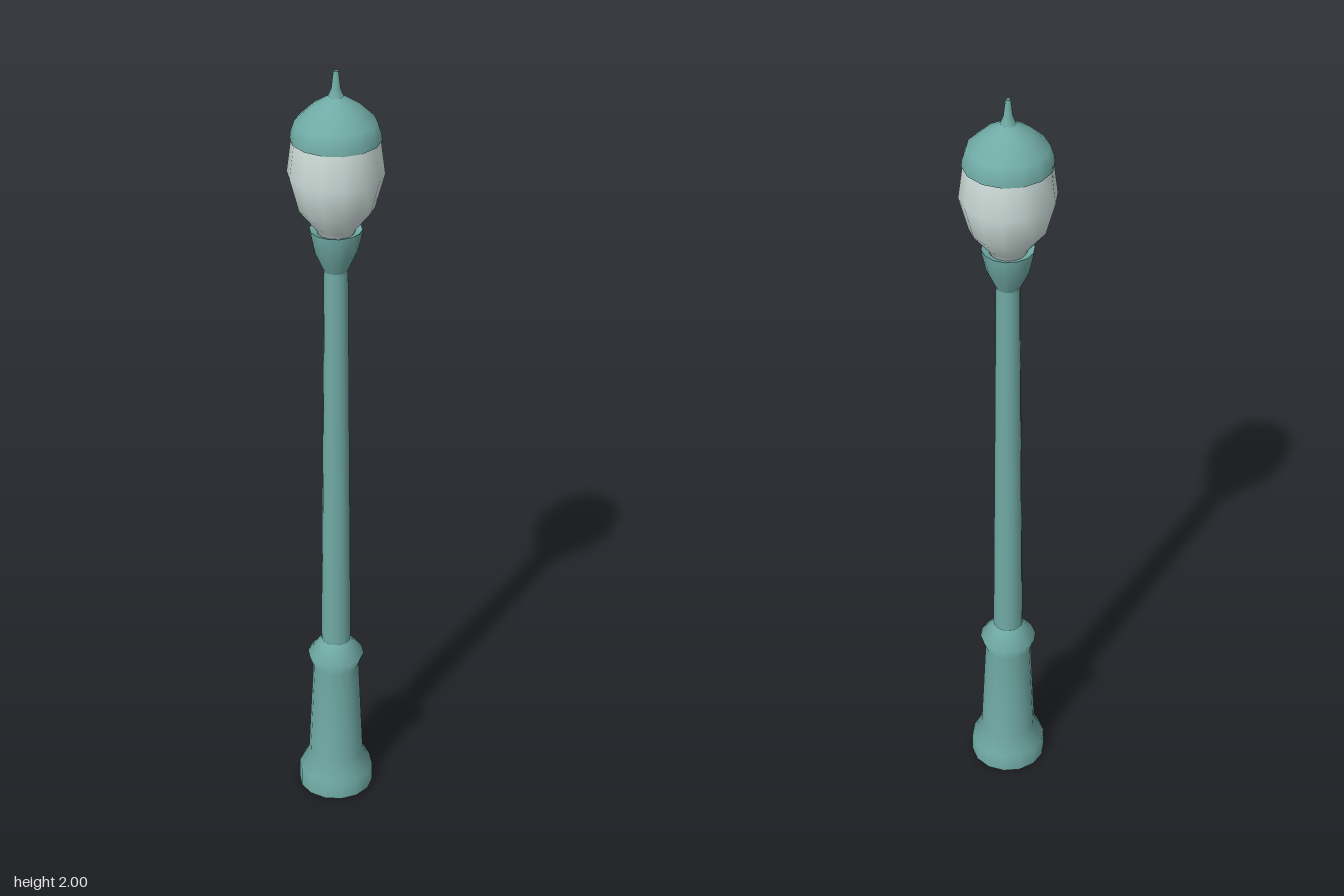
import * as THREE from 'three';

const SIDES = 14;

// Open lathe shell with a vertex on the +x axis
function turned(name, profile, material) {
  const points = profile.map(([r, y]) => new THREE.Vector2(r, y));
  const mesh = new THREE.Mesh(new THREE.LatheGeometry(points, SIDES, Math.PI / 2), material);
  mesh.name = name;
  return mesh;
}

export function createModel() {
  const paint = new THREE.MeshStandardMaterial({ color: 0x70aaa5, side: THREE.DoubleSide });
  paint.name = 'teal paint';
  const glass = new THREE.MeshStandardMaterial({ color: 0xd0e0dc, side: THREE.DoubleSide });
  glass.name = 'frosted glass';

  const group = new THREE.Group();
  group.name = 'streetLamp';
  group.add(
    // Flared foot, tapering up to a collar
    turned('base', [[0.097, 0], [0.096, 0.05], [0.071, 0.1], [0.059, 0.37], [0.072, 0.405], [0.038, 0.45]], paint),
    // Slim tapered pole
    turned('pole', [[0.038, 0.45], [0.029, 1.5]], paint),
    // Cup that holds the globe
    turned('cup', [[0.029, 1.5], [0.052, 1.55], [0.061, 1.59], [0.063, 1.607]], paint),
    turned('cupLedge', [[0.063, 1.607], [0.045, 1.6]], paint),
    // Glass globe
    turned('globe', [[0.042, 1.595], [0.05, 1.612], [0.092, 1.665], [0.115, 1.75], [0.104, 1.835]], glass),
    // Domed cap and its pointed finial, open at the tip
    turned('cap', [[0.107, 1.833], [0.105, 1.85], [0.096, 1.877], [0.058, 1.913], [0.019, 1.938]], paint),
    turned('finial', [[0.019, 1.938], [0.011, 1.957], [0.006, 2]], paint),
    // Underside of the cap
    turned('capUnderside', [[0.104, 1.835], [0.107, 1.833]], paint)
  );
  return group;
}
